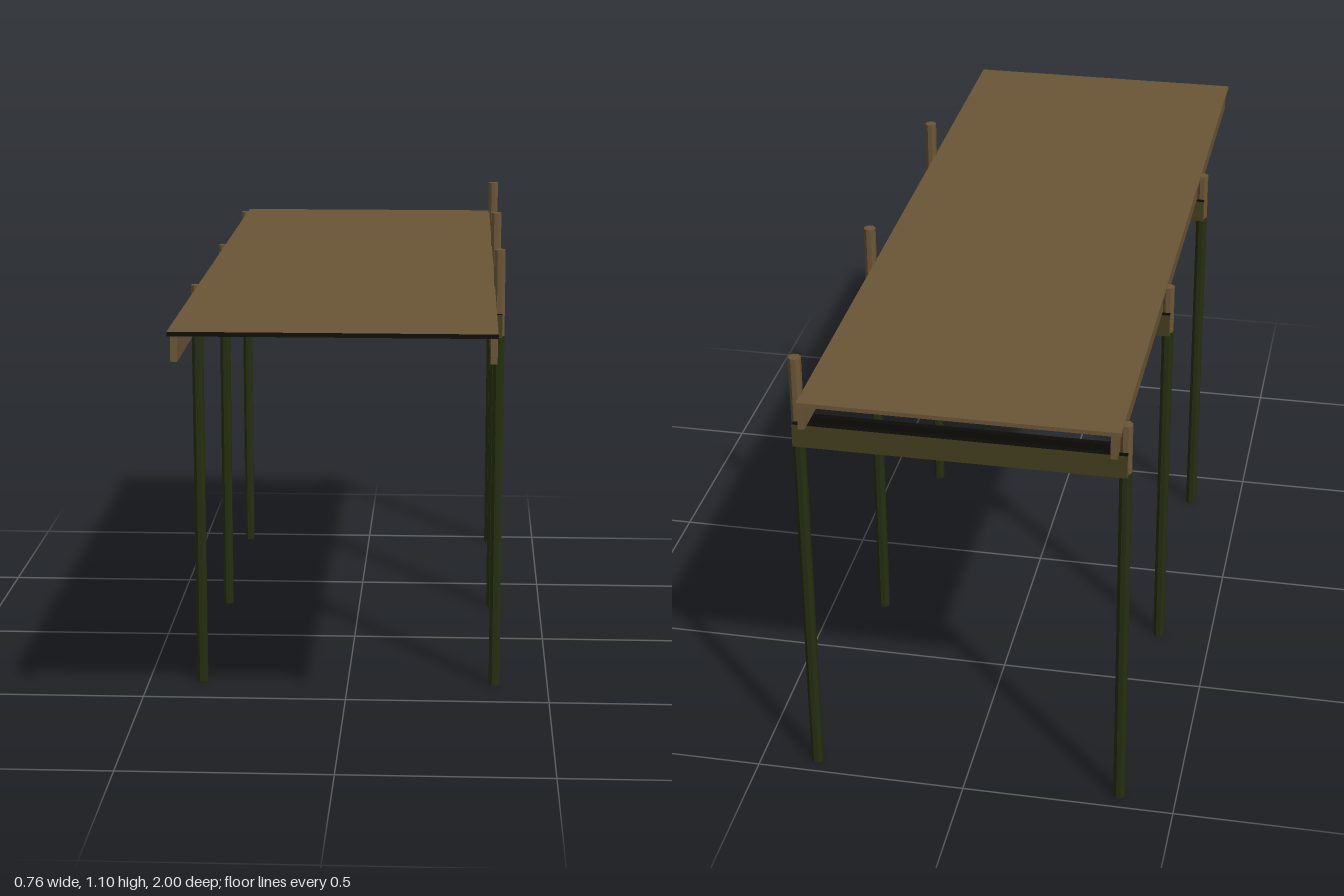
import * as THREE from 'three';

const mat = (name, color) => {
  const m = new THREE.MeshStandardMaterial({ color });
  m.name = name;
  return m;
};

export function createModel() {
  const wood = mat('brownWood', 0x6b5636);
  const mossy = mat('mossyWood', 0x443f20);
  const wet = mat('darkGreenWetWood', 0x252e10);
  const dark = mat('darkEndGrain', 0x0c0b06);
  const model = new THREE.Group();
  model.name = 'jetty';

  const add = (parent, name, geometry, material, x, y, z) => {
    const m = new THREE.Mesh(geometry, material);
    m.name = name;
    m.position.set(x, y, z);
    parent.add(m);
    return m;
  };

  // Deck with a dark front edge
  add(model, 'deck', new THREE.BoxGeometry(0.717, 0.01, 2),
    [wood, wood, wood, wood, dark, wood], -0.003, 1.006, 0);

  // Long rails under both deck edges
  for (const s of [-1, 1]) {
    add(model, 'sideRail', new THREE.BoxGeometry(0.015, 0.057, 2), wood, s * 0.3465, 0.9735, 0);
  }

  // Octagonal post with flat sides facing outward, wet below the beams and dry above
  const addPost = (parent, x, top) => {
    const post = new THREE.Group();
    post.name = 'post';
    parent.add(post);
    const section = (name, y0, y1, material) => {
      const g = new THREE.CylinderGeometry(0.0145, 0.0145, y1 - y0, 8).toNonIndexed();
      g.rotateY(Math.PI / 8);
      g.computeVertexNormals();
      add(post, name, g, material, x, (y0 + y1) / 2, 0);
    };
    section('lowerPost', 0, 0.89, wet);
    section('upperPost', 0.89, top, wood);
  };

  // Three supports: two posts clasped between paired cross beams
  for (const z of [0.37, -0.29, -0.955]) {
    const support = new THREE.Group();
    support.name = 'support';
    support.position.z = z;
    model.add(support);
    addPost(support, 0.3665, 1.1);
    addPost(support, -0.3665, 1.009);
    // Beams are mossy outside, brown at the ends and dark on the other sides
    for (const s of [-1, 1]) {
      const front = s > 0 ? mossy : dark;
      const back = s > 0 ? dark : mossy;
      add(support, 'crossBeam', new THREE.BoxGeometry(0.748, 0.056, 0.014),
        [wood, wood, dark, dark, front, back], 0, 0.917, s * 0.0205);
    }
  }
  return model;
}
